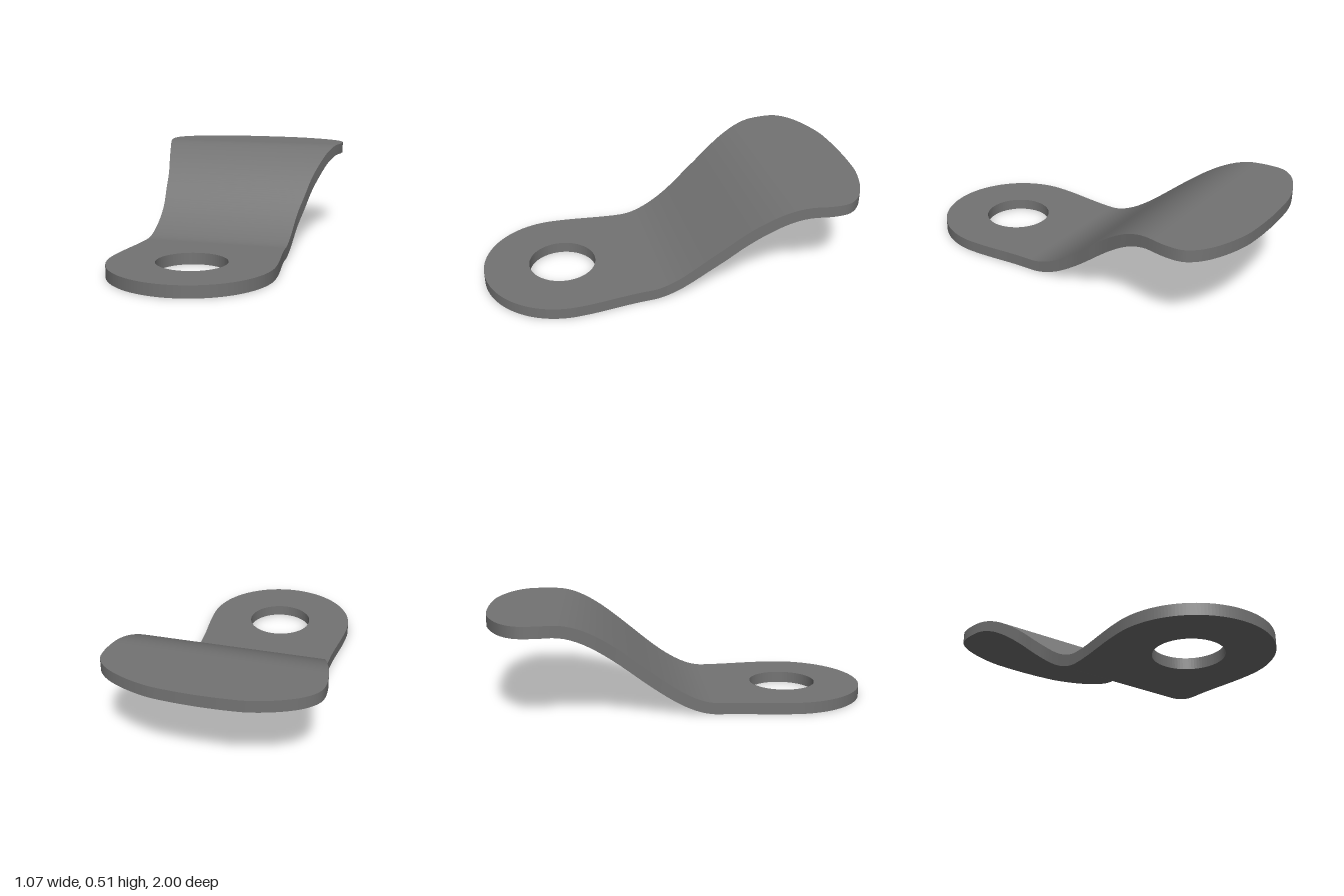
import * as THREE from 'three';

const HALF = 0.03;                  // half the sheet thickness
const JOIN = 0.2;                   // z where the flat tab meets the bent blade
const HOLE_Z = 0.58, HOLE_R = 0.178;
const ROUND_Z = 0.585, ROUND_R = 0.414;

// Blade edge: half width against z, from the joint to the rear tip
const EDGE = [
  [0.382, 0.2], [0.38, 0.08], [0.386, -0.1], [0.408, -0.22], [0.425, -0.31], [0.47, -0.47],
  [0.53, -0.7], [0.53, -0.8], [0.513, -0.84], [0.465, -0.89], [0.375, -0.94],
  [0.24, -0.983], [0.12, -0.996], [0, -1],
];

// Centre height and slope of the S bend at z
function bend(z) {
  const start = 0.18, span = 0.84, rise = 0.45;
  const t = THREE.MathUtils.clamp((start - z) / span, 0, 1);
  return {
    y: HALF + rise * t * t * (3 - 2 * t),
    slope: (rise * 6 * t * (1 - t)) / span,
  };
}

// Smooth ribbon between two rows of points
function ribbon(a, b) {
  const positions = [], index = [];
  a.forEach((p, i) => {
    positions.push(...p, ...b[i]);
    if (i) {
      const k = 2 * i;
      index.push(k - 2, k - 1, k, k - 1, k + 1, k);
    }
  });
  const geometry = new THREE.BufferGeometry();
  geometry.setAttribute('position', new THREE.Float32BufferAttribute(positions, 3));
  geometry.setIndex(index);
  geometry.computeVertexNormals();
  return geometry;
}

// Flat front tab with its bolt hole
function tabGeometry() {
  const shape = new THREE.Shape();
  const z0 = JOIN;
  // Drawn in x and -z so that it lies flat after turning
  shape.moveTo(-0.382, -z0);
  shape.bezierCurveTo(-0.386, -0.33, -ROUND_R, -0.45, -ROUND_R, -ROUND_Z);
  shape.absarc(0, -ROUND_Z, ROUND_R, Math.PI, 2 * Math.PI, false);
  shape.bezierCurveTo(ROUND_R, -0.45, 0.386, -0.33, 0.382, -z0);
  shape.closePath();
  const hole = new THREE.Path();
  hole.absarc(0, -HOLE_Z, HOLE_R, 0, 2 * Math.PI, true);
  shape.holes.push(hole);
  const geometry = new THREE.ExtrudeGeometry(shape, {
    depth: 2 * HALF, bevelEnabled: false, curveSegments: 40,
  });
  geometry.rotateX(-Math.PI / 2);
  return geometry;
}

export function createModel() {
  const group = new THREE.Group();
  const metal = new THREE.MeshStandardMaterial({ color: 0x737373 });
  metal.name = 'darkGreyMetal';
  const add = (name, geometry) => {
    const mesh = new THREE.Mesh(geometry, metal);
    mesh.name = name;
    group.add(mesh);
  };

  add('mountingTab', tabGeometry());

  // Four rails of the bent blade: left and right, top and bottom
  const edge = new THREE.CatmullRomCurve3(EDGE.map(([w, z]) => new THREE.Vector3(w, 0, z)))
    .getPoints(104);
  const rail = (side, level) => edge.map((p) => {
    const { y, slope } = bend(p.z);
    return [side * p.x, y + level * HALF * Math.hypot(1, slope), p.z];
  });
  const leftTop = rail(1, 1), leftBottom = rail(1, -1);
  const rightTop = rail(-1, 1), rightBottom = rail(-1, -1);

  add('bladeTop', ribbon(rightTop, leftTop));
  add('bladeUnderside', ribbon(leftBottom, rightBottom));
  add('bladeLeftEdge', ribbon(leftTop, leftBottom));
  add('bladeRightEdge', ribbon(rightBottom, rightTop));
  return group;
}
